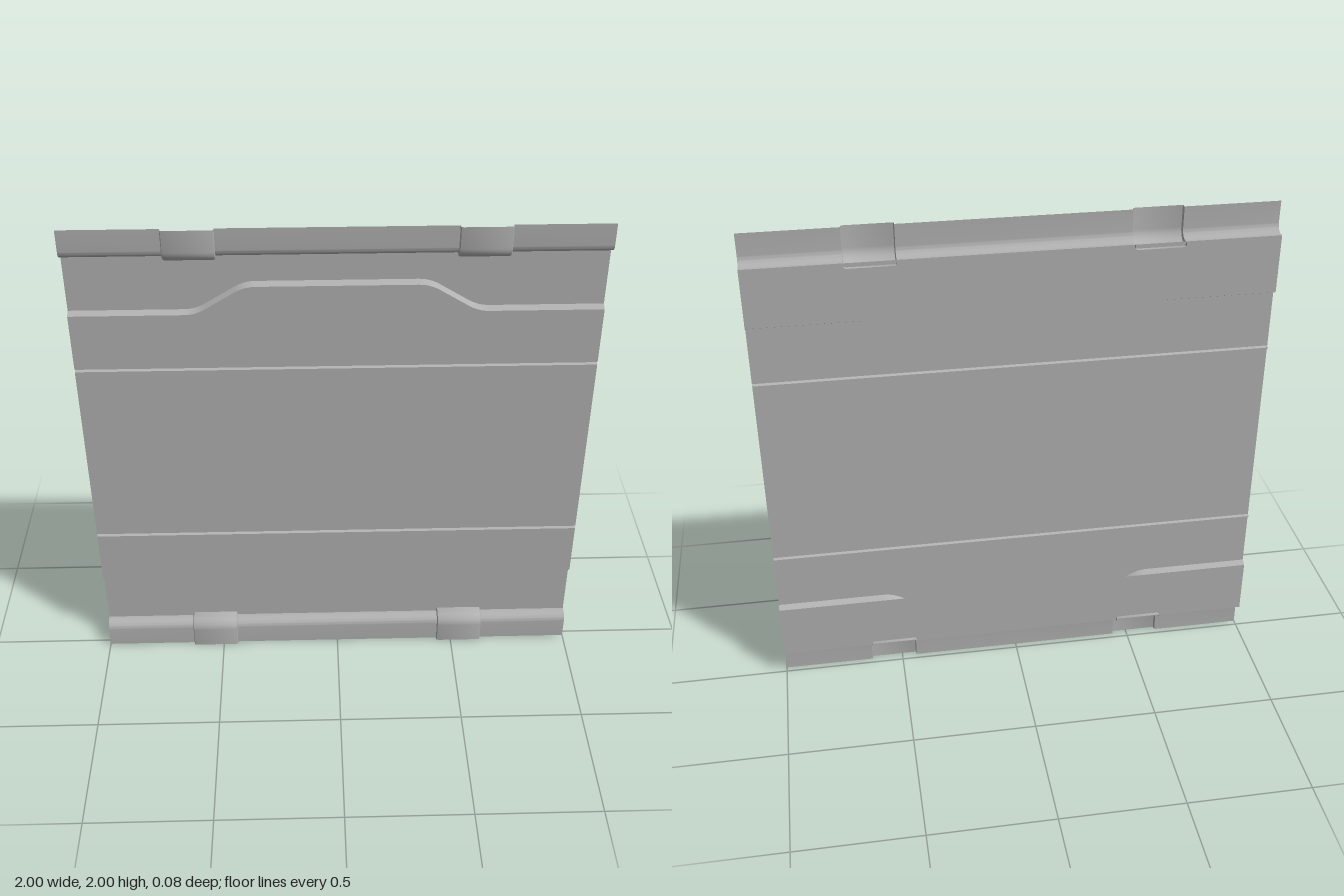
import * as THREE from 'three';
import { toCreasedNormals } from 'three/addons/utils/BufferGeometryUtils.js';

const steel = new THREE.MeshStandardMaterial({ color: 0xb0b0b0, side: THREE.DoubleSide });
steel.name = 'grey steel';

// Sheet made from rows of points; rows run upward, points run toward +x
function sheet(name, rows) {
  const n = rows[0].length, index = [];
  for (let r = 0; r < rows.length - 1; r++) {
    for (let c = 0; c < n - 1; c++) {
      const a = r * n + c, b = a + n;
      index.push(a, a + 1, b, a + 1, b + 1, b);
    }
  }
  const geo = new THREE.BufferGeometry();
  geo.setAttribute('position', new THREE.Float32BufferAttribute(rows.flat(2), 3));
  geo.setIndex(index);
  const mesh = new THREE.Mesh(toCreasedNormals(geo, 0.6), steel);
  mesh.name = name;
  return mesh;
}

// Straight run of a [y, z] profile between two x positions
const run = (name, profile, x0, x1) =>
  sheet(name, profile.map(([y, z]) => [[x0, y, z], [x1, y, z]]));

// L-shaped rail profile, pushed outward by d; back is the rear end of the ledge
const FRONT = 0.024, LEDGE = 0.882, RADIUS = 0.032;
function railProfile(d, back) {
  const points = [[LEDGE - d, back]];
  for (let i = 0; i <= 8; i++) {
    const a = (i / 8) * Math.PI / 2;
    points.push([
      LEDGE + RADIUS - Math.cos(a) * (RADIUS + d),
      FRONT - RADIUS + Math.sin(a) * (RADIUS + d),
    ]);
  }
  points.push([1, FRONT + d]);
  return points;
}

// Raised clip pressed out of the rail, with rounded side walls
function clip(x) {
  const half = 0.096, d = 0.016;
  const section = [[-half, 0], [-half, 0.009], [-half + 0.003, 0.014], [-half + 0.009, d]];
  const all = [...section, ...section.map(([u, h]) => [-u, h]).reverse()];
  const profiles = all.map(([, h]) => railProfile(h, -0.038));
  const rows = profiles[0].map((_, r) => all.map(([u], c) => [x + u, ...profiles[c][r]]));
  return sheet('clip', rows);
}

// Stepped edge line of the raised panel, with softened bends
function stepLine() {
  const low = 0.638, high = 0.752;
  const bend = (p, q, r) => new THREE.QuadraticBezierCurve(
    new THREE.Vector2(...p), new THREE.Vector2(...q), new THREE.Vector2(...r)).getPoints(5);
  const right = [
    ...bend([0.3, high], [0.34, high], [0.375, high - 0.02]),
    ...bend([0.495, low + 0.02], [0.53, low], [0.57, low]),
    new THREE.Vector2(1, low),
  ].map((p) => [p.x, p.y]);
  return [...right.map(([x, y]) => [-x, y]).reverse(), ...right];
}

// Upper half of the sheet, measured from the middle height
function halfSheet() {
  const half = new THREE.Group();
  const back = -0.024, line = stepLine();

  half.add(run('centrePanel', [[0, 0], [0.396, 0]], -1, 1));
  half.add(run('groove', [[0.396, 0], [0.401, -0.01], [0.405, -0.01], [0.41, 0]], -1, 1));
  half.add(sheet('raisedPanel', [
    line.map(([x]) => [x, 0.41, 0]),
    line.map(([x, y]) => [x, y, 0]),
  ]));
  half.add(sheet('stepWall', [
    line.map(([x, y]) => [x, y, 0]),
    line.map(([x, y]) => [x, y + 0.012, back]),
  ]));
  half.add(run('outerPanel', [[0.65, back], [LEDGE, back]], -1, 1));

  // Rail is interrupted where the clips bulge out
  const profile = railProfile(0, back);
  for (const [x0, x1] of [[-1, -0.63], [-0.438, 0.438], [0.63, 1]]) {
    half.add(run('rail', profile, x0, x1));
  }
  for (const x of [-0.534, 0.534]) half.add(clip(x));
  return half;
}

export function createModel() {
  const model = new THREE.Group();
  model.name = 'pressedPanel';
  for (const side of [1, -1]) {
    const half = halfSheet();
    half.name = side > 0 ? 'upperHalf' : 'lowerHalf';
    half.scale.y = side;
    half.position.y = 1;
    model.add(half);
  }
  return model;
}
